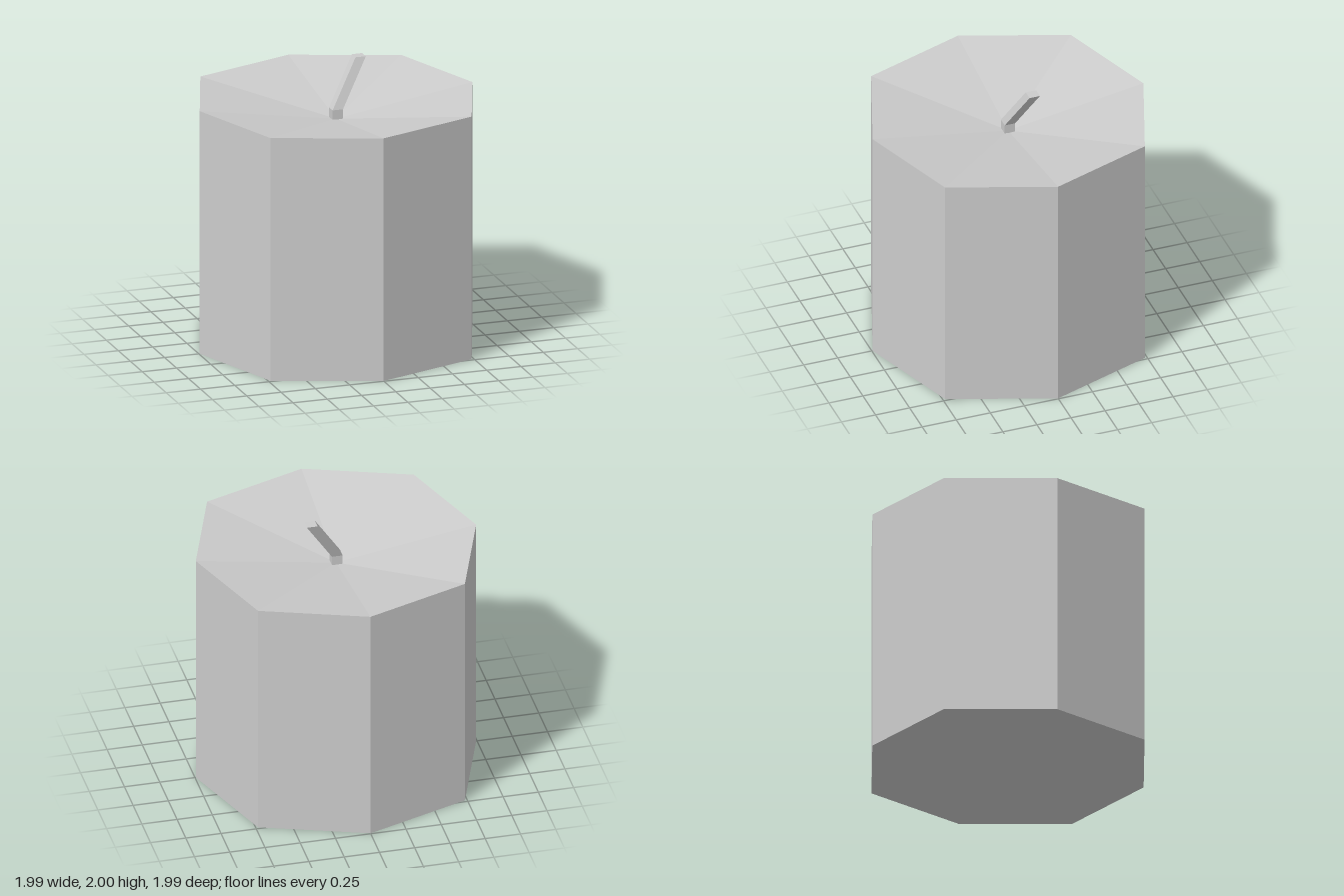
import * as THREE from 'three';

const BODY_HEIGHT = 1.755;
const DISH_Y = 1.595; // centre of the sunken top

// Move every vertex by a rule, then give each face its own flat normal
function reshape(geometry, rule) {
  const p = geometry.attributes.position;
  const v = new THREE.Vector3();
  for (let i = 0; i < p.count; i++) {
    v.fromBufferAttribute(p, i);
    rule(v);
    p.setXYZ(i, v.x, v.y, v.z);
  }
  const flat = geometry.toNonIndexed();
  flat.computeVertexNormals();
  return flat;
}

export function createModel() {
  const group = new THREE.Group();
  const grey = new THREE.MeshStandardMaterial({ color: 0xcccccc, flatShading: true });
  grey.name = 'pale grey';

  // Eight-sided body: corners alternate in radius, top dips to its centre
  const bodyGeometry = new THREE.CylinderGeometry(1, 1, BODY_HEIGHT, 8);
  bodyGeometry.translate(0, BODY_HEIGHT / 2, 0);
  const body = new THREE.Mesh(reshape(bodyGeometry, (v) => {
    if (Math.hypot(v.x, v.z) < 0.01) {
      if (v.y > 1) v.y = DISH_Y;
      return;
    }
    const diagonal = Math.abs(v.x) > 0.1 && Math.abs(v.z) > 0.1;
    const radius = diagonal ? 1.037 : 0.994;
    v.x *= radius;
    v.z *= radius;
  }), grey);
  body.name = 'body';
  group.add(body);

  // Square wick: short upright foot, then leaning to the back left
  const levels = [
    [0, DISH_Y - 0.01, 0],
    [0, 1.67, 0],
    [0.204, 2, -0.107],
  ];
  const wickGeometry = new THREE.BoxGeometry(0.076, 2, 0.076, 1, 2, 1);
  const wick = new THREE.Mesh(reshape(wickGeometry, (v) => {
    const [x, y, z] = levels[Math.round(v.y) + 1];
    v.set(v.x + x, y, v.z + z);
  }), grey);
  wick.name = 'wick';
  group.add(wick);

  return group;
}
